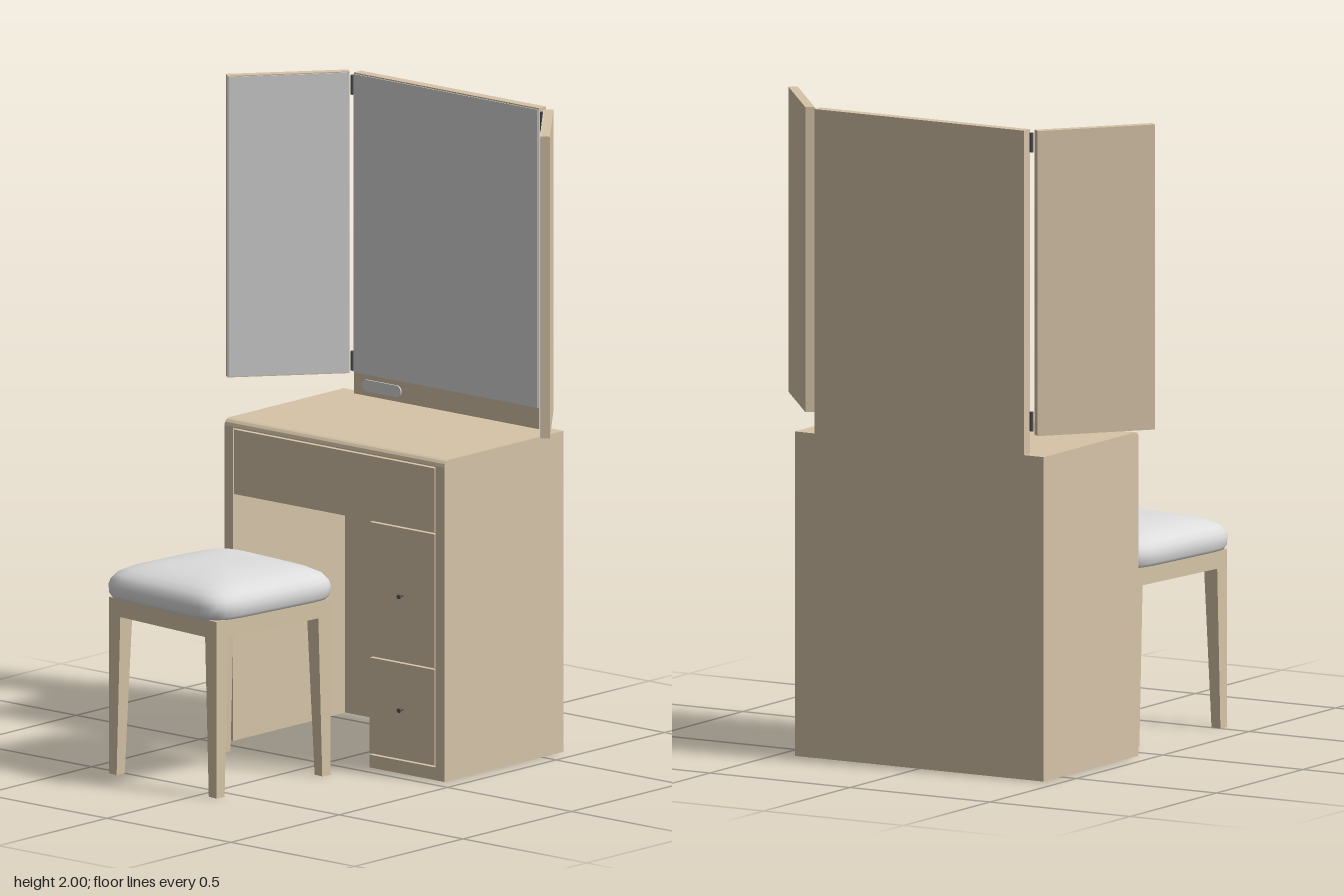
import * as THREE from 'three';
import { toCreasedNormals } from 'three/addons/utils/BufferGeometryUtils.js';

const material = (name, color) => {
  const m = new THREE.MeshStandardMaterial({ color });
  m.name = name;
  return m;
};

export function createModel() {
  const wood = material('pale wood', 0xd6c4a8);
  const glass = material('mirror grey', 0xd6d6d6);
  const fabric = material('seat fabric', 0xdddddd);
  const metal = material('dark metal', 0x55524e);

  const model = new THREE.Group();
  model.name = 'dressingTableAndStool';

  const add = (parent, name, geometry, mat) => {
    const mesh = new THREE.Mesh(geometry, mat);
    mesh.name = name;
    parent.add(mesh);
    return mesh;
  };
  // box from its limits on each axis
  const box = (parent, name, mat, [x0, x1], [y0, y1], [z0, z1]) => {
    const mesh = add(parent, name, new THREE.BoxGeometry(x1 - x0, y1 - y0, z1 - z0), mat);
    mesh.position.set((x0 + x1) / 2, (y0 + y1) / 2, (z0 + z1) / 2);
    return mesh;
  };

  // ---- cabinet ----
  const cabinet = new THREE.Group();
  cabinet.name = 'cabinet';
  model.add(cabinet);
  const back = -0.567, front = -0.05;

  // board with a rounded upper front edge, extruded across x
  const roundedBoard = (name, x0, x1, y0) => {
    const r = 0.022;
    const s = new THREE.Shape();
    s.moveTo(back, y0);
    s.lineTo(front, y0);
    s.lineTo(front, 1 - r);
    s.absarc(front - r, 1 - r, r, 0, Math.PI / 2, false);
    s.lineTo(back, 1);
    s.closePath();
    const g = new THREE.ExtrudeGeometry(s, { depth: x1 - x0, bevelEnabled: false, curveSegments: 8 });
    g.rotateY(-Math.PI / 2).translate(x1, 0, 0);
    add(cabinet, name, toCreasedNormals(g, 0.5), wood);
  };
  roundedBoard('leftSide', 0.407, 0.443, 0);
  roundedBoard('rightSide', -0.445, -0.41, 0);
  roundedBoard('top', -0.41, 0.407, 0.976);

  box(cabinet, 'backPanel', wood, [-0.445, 0.443], [0, 1], [-0.6, back]);
  box(cabinet, 'drawerCase', wood, [-0.41, 0.407], [0.772, 0.976], [back, -0.066]);
  box(cabinet, 'pedestal', wood, [0.144, 0.407], [0, 0.772], [back, -0.066]);
  box(cabinet, 'plinth', wood, [0.141, 0.407], [0, 0.04], [-0.066, front]);

  // drawer fronts separated by narrow gaps
  const fronts = [
    ['wideDrawer', [-0.406, 0.403], [0.77, 0.971]],
    ['upperDrawer', [0.141, 0.403], [0.348, 0.765]],
    ['lowerDrawer', [0.141, 0.403], [0.045, 0.343]],
  ];
  for (const [name, x, y] of fronts) box(cabinet, name, wood, x, y, [-0.066, front]);

  // knobs: thin stem with a small head
  for (const y of [0.555, 0.2]) {
    const profile = [[0, 0], [0.003, 0], [0.003, 0.012], [0.007, 0.015], [0.007, 0.02], [0, 0.022]];
    const g = new THREE.LatheGeometry(profile.map(([a, b]) => new THREE.Vector2(a, b)), 16);
    g.rotateX(Math.PI / 2);
    add(cabinet, 'knob', toCreasedNormals(g, 0.6), metal).position.set(0.275, y, front);
  }

  // ---- three-part mirror ----
  const mirror = new THREE.Group();
  mirror.name = 'mirror';
  model.add(mirror);
  box(mirror, 'mirrorBoard', wood, [-0.375, 0.373], [1, 2], [-0.6, back]);
  box(mirror, 'centreGlass', glass, [-0.373, 0.371], [1.067, 1.996], [back, back + 0.004]);

  // socket strip under the glass
  const plate = new THREE.Shape();
  plate.absarc(-0.06, 0, 0.018, Math.PI / 2, Math.PI * 1.5, false);
  plate.absarc(0.06, 0, 0.018, -Math.PI / 2, Math.PI / 2, false);
  add(mirror, 'socketPlate', new THREE.ExtrudeGeometry(plate, { depth: 0.005, bevelEnabled: false }), glass)
    .position.set(-0.26, 1.033, back);

  for (const side of [-1, 1]) {
    const wing = new THREE.Group();
    wing.name = side > 0 ? 'leftWing' : 'rightWing';
    wing.position.set(side * 0.5225, 1.53, -0.431);
    wing.rotation.y = -side * 0.88;
    mirror.add(wing);
    box(wing, 'wingBoard', wood, [-0.188, 0.188], [-0.47, 0.47], [-0.0155, 0.0125]);
    box(wing, 'wingGlass', glass, [-0.186, 0.186], [-0.467, 0.467], [0.0125, 0.0155]);
    for (const y of [1.1, 1.96]) {
      const pin = add(mirror, 'hinge', new THREE.CylinderGeometry(0.006, 0.006, 0.06, 12), metal);
      pin.position.set(side * 0.383, y, -0.569);
    }
  }

  // ---- stool ----
  const stool = new THREE.Group();
  stool.name = 'stool';
  stool.position.set(-0.142, 0, 0.318);
  stool.rotation.y = -0.095;
  model.add(stool);
  const h = 0.238;

  for (let i = 0; i < 4; i++) {
    const quarter = new THREE.Group();
    quarter.name = 'legAndApron';
    quarter.rotation.y = i * Math.PI / 2;
    stool.add(quarter);
    box(quarter, 'apron', wood, [-h + 0.04, h - 0.04], [0.495, 0.55], [h - 0.03, h]);

    // leg tapers on its inner faces only
    const g = new THREE.BoxGeometry(1, 0.55, 1);
    const p = g.attributes.position;
    for (let v = 0; v < p.count; v++) {
      const w = p.getY(v) < 0 ? 0.034 : 0.052;
      p.setXYZ(v, h + (p.getX(v) - 0.5) * w, p.getY(v) + 0.275, h + (p.getZ(v) - 0.5) * w);
    }
    g.computeVertexNormals();
    add(quarter, 'leg', g, wood);
  }

  // cushion: rounded-square rings, [height, half width]
  const rings = [
    [0.55, 0], [0.55, 0.245], [0.553, 0.256], [0.563, 0.262], [0.59, 0.264], [0.608, 0.259],
    [0.625, 0.246], [0.64, 0.22], [0.652, 0.178], [0.66, 0.125], [0.664, 0.065], [0.665, 0],
  ];
  const n = 72, points = [], index = [];
  rings.forEach(([y, half], j) => {
    const power = j < 7 ? 7 : 7 - (j - 6) * 0.8; // softer corners towards the crown
    for (let i = 0; i < n; i++) {
      const a = i / n * Math.PI * 2, c = Math.cos(a), s = Math.sin(a);
      const r = half / Math.pow(Math.abs(c) ** power + Math.abs(s) ** power, 1 / power);
      points.push(r * c, y, r * s);
      if (j === 0) continue;
      const k = (i + 1) % n, lo = (j - 1) * n, hi = j * n;
      if (j > 1) index.push(lo + i, hi + i, lo + k);
      if (j < rings.length - 1) index.push(lo + k, hi + i, hi + k);
    }
  });
  const cushion = new THREE.BufferGeometry();
  cushion.setAttribute('position', new THREE.Float32BufferAttribute(points, 3));
  cushion.setIndex(index);
  cushion.computeVertexNormals();
  add(stool, 'cushion', toCreasedNormals(cushion, 1), fabric);

  return model;
}
